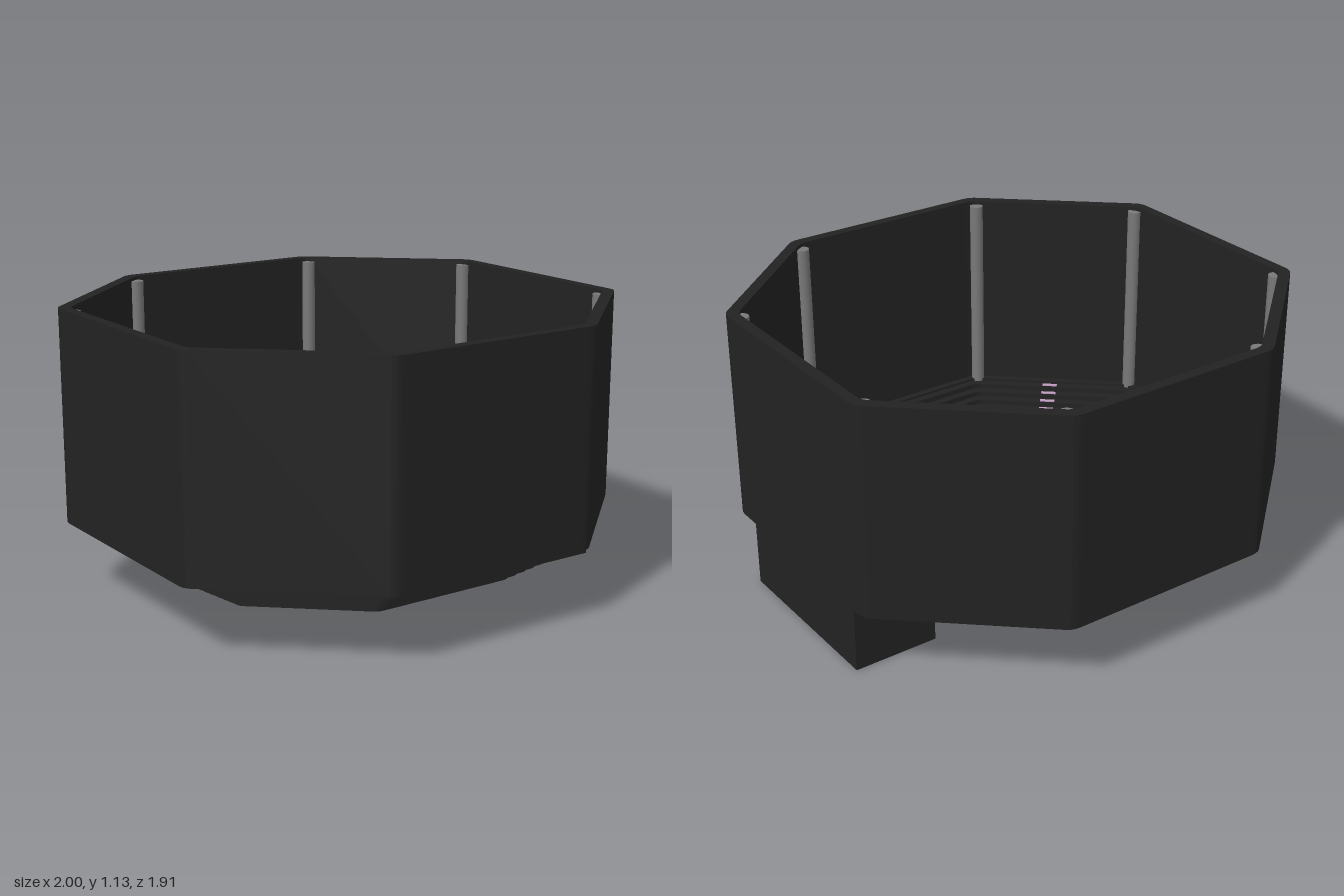
import * as THREE from 'three';

const black = new THREE.MeshStandardMaterial({ color: 0x222222 });
black.name = 'black plastic';
const grey = new THREE.MeshStandardMaterial({ color: 0x787878 });
grey.name = 'grey metal';
const pink = new THREE.MeshStandardMaterial({ color: 0xc09ac0 });
pink.name = 'pink light';

// Octagon corners in the ground plane, at scale 1
const CORNERS = [[1, 0.46], [0.44, 0.957], [-0.44, 0.957], [-1, 0.46],
  [-1, -0.46], [-0.44, -0.957], [0.44, -0.957], [1, -0.46]];

// Octagon outline with slightly rounded corners
function octagon(path, scale) {
  const pts = CORNERS.map(([x, z]) => new THREE.Vector2(x * scale, z * scale));
  pts.forEach((p, i) => {
    const prev = pts[(i + 7) % 8], next = pts[(i + 1) % 8];
    const a = p.clone().lerp(prev, 0.035), b = p.clone().lerp(next, 0.035);
    if (i === 0) path.moveTo(a.x, a.y); else path.lineTo(a.x, a.y);
    path.quadraticCurveTo(p.x, p.y, b.x, b.y);
  });
  path.closePath();
  return path;
}

// Octagonal slab or ring from y0 to y1
function slab(name, outer, inner, y0, y1) {
  const shape = octagon(new THREE.Shape(), outer);
  if (inner) shape.holes.push(octagon(new THREE.Path(), inner));
  const geo = new THREE.ExtrudeGeometry(shape, { depth: y1 - y0, bevelEnabled: false, curveSegments: 3 });
  geo.rotateX(-Math.PI / 2).translate(0, y0, 0);
  const mesh = new THREE.Mesh(geo, black);
  mesh.name = name;
  return mesh;
}

function box(name, mat, w, h, d, x, y, z) {
  const mesh = new THREE.Mesh(new THREE.BoxGeometry(w, h, d), mat);
  mesh.name = name;
  mesh.position.set(x, y, z);
  return mesh;
}

export function createModel() {
  const model = new THREE.Group();
  model.name = 'octagonalTub';

  // Tall outer wall and the ledge closing its foot
  model.add(slab('wall', 1, 0.955, 0.285, 1.132));
  model.add(slab('wallLedge', 0.99, 0.925, 0.285, 0.295));

  // Stepped bowl: rings that shrink as they go down
  const STEPS = 8, RISE = 0.022, RUN = 0.035;
  const steps = new THREE.Group();
  steps.name = 'steps';
  for (let i = 0; i < STEPS; i++) {
    const outer = 0.935 - i * RUN, top = 0.285 - i * RISE;
    steps.add(slab('step', outer, outer - 0.045, top - RISE, top));
  }
  model.add(steps);
  model.add(slab('floor', 0.66, 0, 0.111, 0.121));

  // Housing on the left side, with a shallow channel under the floor
  model.add(box('housing', black, 0.345, 0.295, 0.74, 0.8125, 0.1475, 0));
  model.add(box('floorChannel', black, 0.4, 0.012, 0.13, 0.45, 0.111, 0));

  // Corner posts
  for (const [x, z] of [[0.43, 0.888], [0.942, 0.435]]) {
    for (const sx of [1, -1]) for (const sz of [1, -1]) {
      const post = new THREE.Mesh(new THREE.CylinderGeometry(0.028, 0.028, 0.835, 16), grey);
      post.name = 'cornerPost';
      post.position.set(x * sx, 0.7, z * sz);
      model.add(post);
    }
  }

  // Rows of small lights on the treads, on five sides
  const sides = [[0, 0.957], [-0.72, 0.7085], [-1, 0], [-0.72, -0.7085], [0, -0.957]];
  for (const [x, z] of sides) {
    const row = new THREE.Group();
    row.name = 'lightRow';
    const angle = x === 0 || z === 0 ? Math.atan2(x, z) : Math.atan2(x * 0.497, z * 0.56 * 0.72 / 0.7085);
    const addLight = (s, y) => {
      const light = box('light', pink, 0.064, 0.006, 0.017, x * s, y, z * s);
      light.rotation.y = angle;
      row.add(light);
    };
    for (let i = 0; i < STEPS; i++) addLight(0.905 - i * RUN, 0.286 - i * RISE);
    addLight(0.635, 0.122);
    addLight(0.65, 0.109);
    model.add(row);
  }
  return model;
}
